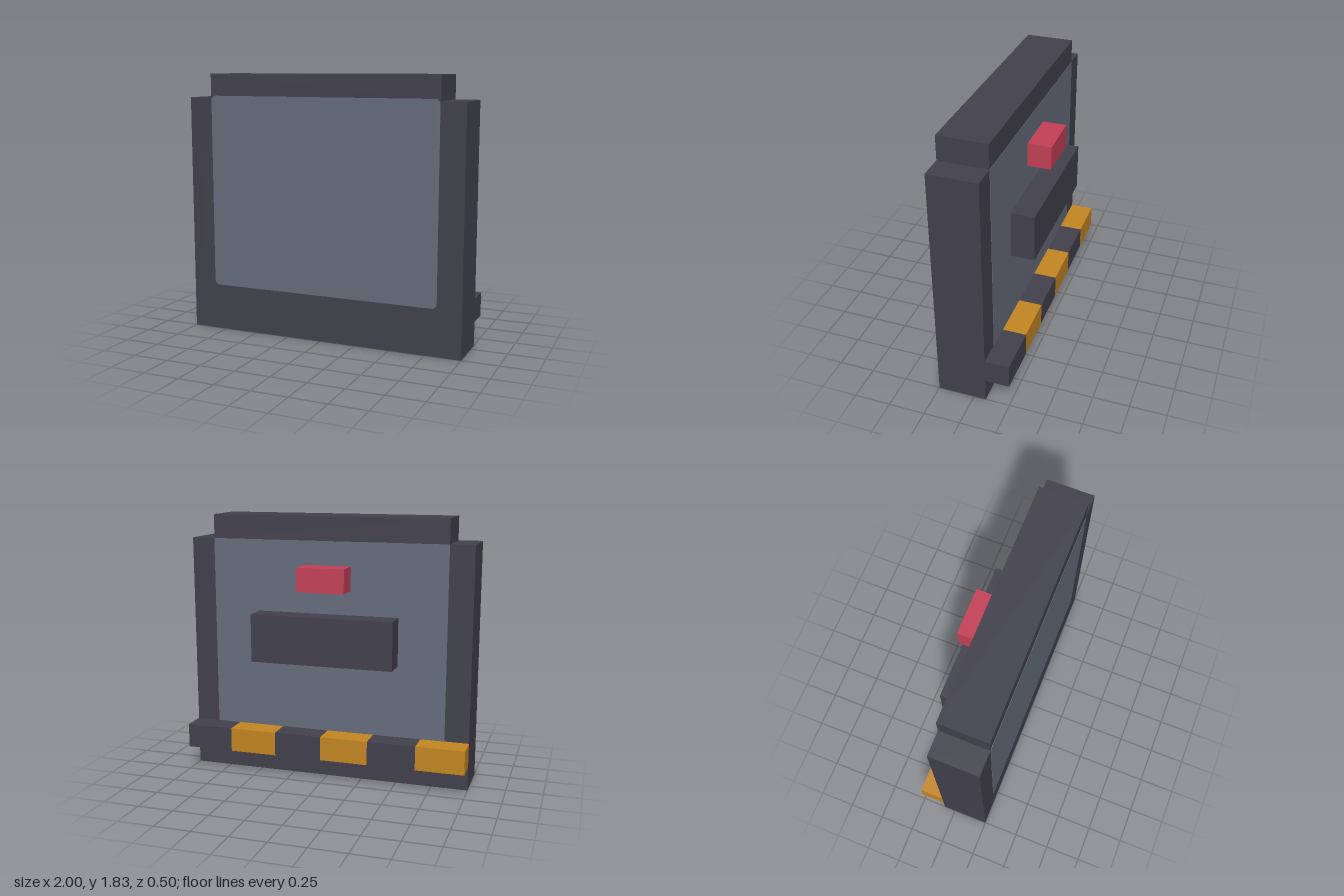
import * as THREE from 'three';

const U = 1 / 6; // layout module

const material = (name, color, side = THREE.FrontSide) => {
  const m = new THREE.MeshStandardMaterial({ color, side });
  m.name = name;
  return m;
};

export function createModel() {
  const group = new THREE.Group();
  const charcoal = material('charcoal', 0x42414d);
  const slate = material('slate', 0x656d7c);
  const red = material('red', 0xc54057);
  const amber = material('amber', 0xc48622);

  const add = (name, geometry, mat, x = 0, y = 0, z = 0) => {
    const mesh = new THREE.Mesh(geometry, mat);
    mesh.name = name;
    mesh.position.set(x, y, z);
    group.add(mesh);
    return mesh;
  };

  // Slab body with a stepped top
  const outline = new THREE.Shape([
    [-1, 0], [1, 0], [1, 10 * U], [5 * U, 10 * U],
    [5 * U, 11 * U], [-5 * U, 11 * U], [-5 * U, 10 * U], [-1, 10 * U],
  ].map(([x, y]) => new THREE.Vector2(x, y)));
  add('body', new THREE.ExtrudeGeometry(outline, { depth: 2 * U, bevelEnabled: false }),
    charcoal, 0, 0, -U / 2);

  // Front panel: thin plate with small rounded corners
  const w = 0.83, y0 = 0.325, y1 = 1.68, r = 0.035;
  const panel = new THREE.Shape();
  panel.absarc(w - r, y0 + r, r, -Math.PI / 2, 0);
  panel.absarc(w - r, y1 - r, r, 0, Math.PI / 2);
  panel.absarc(-w + r, y1 - r, r, Math.PI / 2, Math.PI);
  panel.absarc(-w + r, y0 + r, r, Math.PI, Math.PI * 1.5);
  add('frontPanel', new THREE.ExtrudeGeometry(panel, { depth: 0.003, bevelEnabled: false, curveSegments: 6 }),
    slate, 0, 0, 1.5 * U);

  // Back panel: square-cornered thin plate
  add('backPanel', new THREE.BoxGeometry(10 * U, 8 * U, 0.003), slate, 0, 6 * U, -U / 2 - 0.0015);

  // Blocks standing out from the back
  add('backBlock', new THREE.BoxGeometry(6 * U, 2 * U, U), charcoal, 0, 6 * U, -U);
  add('redBlock', new THREE.BoxGeometry(2 * U, U, U), red, 0, 8.5 * U, -U);

  // Striped bar: six alternating segments
  for (let i = 0; i < 6; i++) {
    add(`barSegment${i + 1}`, new THREE.BoxGeometry(2 * U, U, U),
      i % 2 ? charcoal : amber, (-5 + 2 * i) * U, 1.5 * U, -U);
  }
  return group;
}
